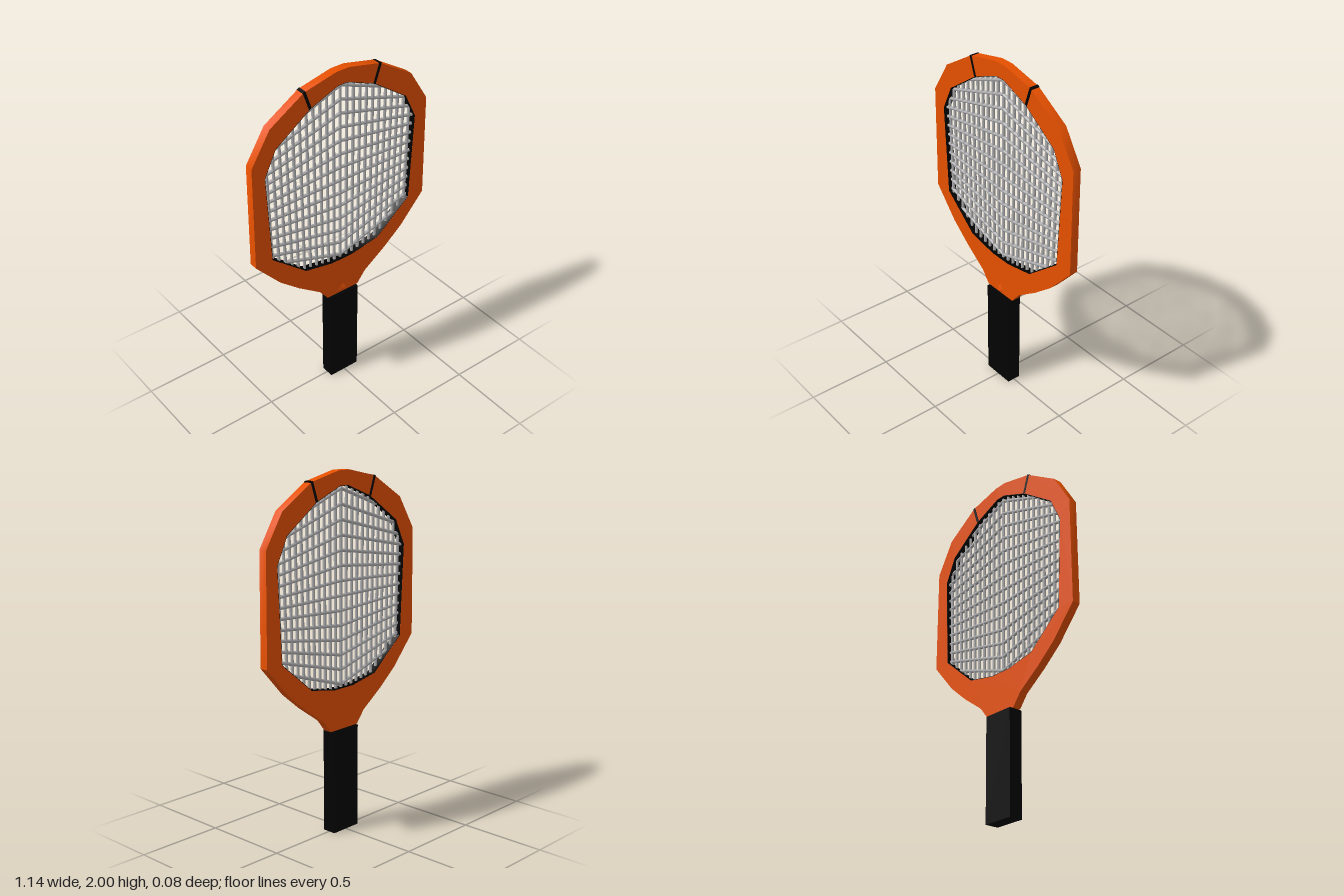
import * as THREE from 'three';
import { toCreasedNormals } from 'three/addons/utils/BufferGeometryUtils.js';

const mat = (name, color) => {
  const m = new THREE.MeshStandardMaterial({ color });
  m.name = name;
  return m;
};

// Right halves of the frame outlines, from top to bottom
const OUTER = [[0.04, 2], [0.24, 1.955], [0.45, 1.825], [0.565, 1.64], [0.57, 1.03],
  [0.42, 0.86], [0.3, 0.76], [0.16, 0.66], [0.105, 0.59]];
const INNER = [[0.03, 1.92], [0.205, 1.85], [0.42, 1.70], [0.49, 1.555], [0.465, 1.035],
  [0.25, 0.855], [0.07, 0.82]];
const MID = 1.36;

// Mirror a half outline into a closed counter-clockwise loop, optionally shrunk about the head centre
const loop = (half, s = 1) => [...half.map(([x, y]) => [-x, y]), ...[...half].reverse()]
  .map(([x, y]) => new THREE.Vector2(x * s, MID + (y - MID) * s));

// Flat ring between two loops, with shallow corners smoothed
function ring(outline, hole, depth) {
  const shape = new THREE.Shape(outline);
  shape.holes.push(new THREE.Path(hole));
  const g = new THREE.ExtrudeGeometry(shape, { depth, bevelEnabled: false });
  return toCreasedNormals(g.translate(0, 0, -depth / 2), 0.6);
}

// Trim a line to the convex head opening
function clip(a, b, poly) {
  const d = b.clone().sub(a);
  let t0 = 0, t1 = 1;
  poly.forEach((p, i) => {
    const e = poly[(i + 1) % poly.length].clone().sub(p);
    const dist = e.cross(a.clone().sub(p));
    const rate = e.cross(d);
    if (Math.abs(rate) < 1e-9) { if (dist < 0) t1 = -1; return; }
    const t = -dist / rate;
    if (rate > 0) t0 = Math.max(t0, t); else t1 = Math.min(t1, t);
  });
  return t1 > t0 ? [a.clone().addScaledVector(d, t0), a.clone().addScaledVector(d, t1)] : null;
}

export function createModel() {
  const orange = mat('orange', 0xe65000);
  const black = mat('black', 0x020202);
  const grey = mat('wire grey', 0xb0b0b2);
  const model = new THREE.Group();
  const add = (name, geo, material, parent = model) => {
    const mesh = new THREE.Mesh(geo, material);
    mesh.name = name;
    parent.add(mesh);
    return mesh;
  };
  // Lay a mesh built along y between two points
  const span = (mesh, a, b) => {
    mesh.position.set((a.x + b.x) / 2, (a.y + b.y) / 2, 0);
    mesh.rotation.z = Math.atan2(a.x - b.x, b.y - a.y);
  };

  // Frame and thin dark lining of the opening
  add('frame', ring(loop(OUTER), loop(INNER), 0.048), orange);
  add('innerRim', ring(loop(INNER), loop(INNER, 0.995), 0.047), black);

  // Handle, with a small lip of the frame over its top
  add('handle', new THREE.BoxGeometry(0.19, 0.59, 0.08), black).position.y = 0.295;
  const lip = new THREE.ConeGeometry(0.03, 0.012, 4).rotateX(Math.PI / 2);
  add('neckLip', lip.toNonIndexed(), orange).position.set(0, 0.615, 0.03);

  // Stripes wrapped around the upper frame
  for (const s of [-1, 1]) {
    const a = new THREE.Vector2(0.204 * s, 1.851), b = new THREE.Vector2(0.24 * s, 1.957);
    span(add('stripe', new THREE.BoxGeometry(0.017, a.distanceTo(b), 0.0495), black), a, b);
  }

  // Wire grid filling the opening
  const grid = new THREE.Group();
  grid.name = 'wireGrid';
  model.add(grid);
  const opening = loop(INNER);
  const wire = (name, x0, y0, x1, y1, r) => {
    const ends = clip(new THREE.Vector2(x0, y0), new THREE.Vector2(x1, y1), opening);
    if (!ends) return;
    const [a, b] = ends;
    span(add(name, new THREE.CylinderGeometry(r, r, a.distanceTo(b), 8), grey, grid), a, b);
  };

  // Upright wires, slightly closer together at the bottom
  for (let k = -11; k <= 11; k++) wire('uprightWire', k * 0.0405, 0.8, k * 0.043, 1.95, 0.0085);

  // Cross wires, fanning out from the edges to the centre line
  for (let k = -6; k <= 7; k++) {
    const y = 1.33 + k * 0.082, slope = -k * 0.026 / 0.48;
    for (const s of [-1, 1]) wire('crossWire', 0, y, 0.6 * s, y + slope * 0.6, 0.0095);
  }
  return model;
}
